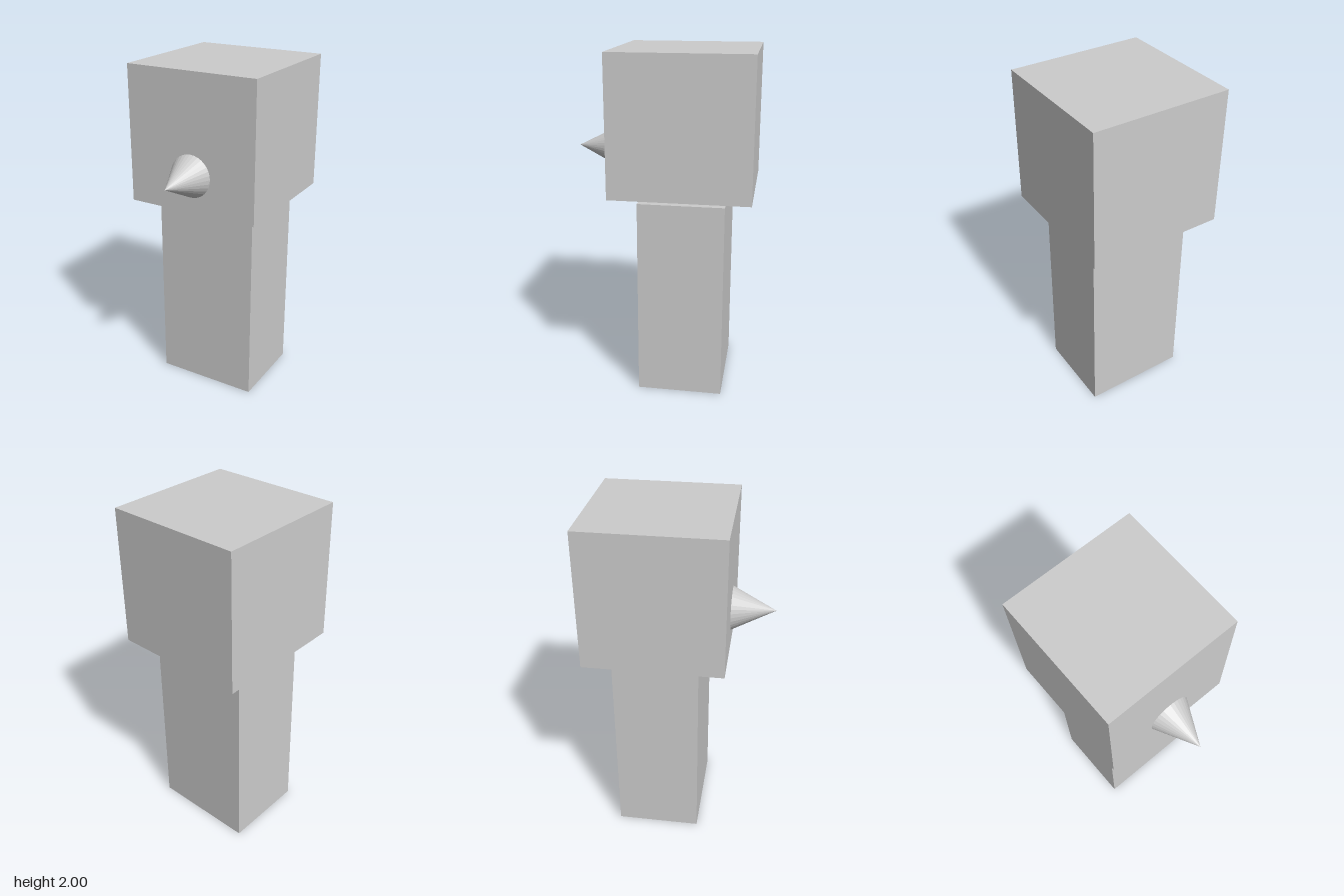
import * as THREE from 'three';

export function createModel() {
  const model = new THREE.Group();
  model.name = 'blockFigure';
  const grey = new THREE.MeshStandardMaterial({ color: 0xcccccc });
  grey.name = 'light grey';
  const flatGrey = grey;
  flatGrey.flatShading = true;

  const add = (name, geometry, x, y, z) => {
    const mesh = new THREE.Mesh(geometry, flatGrey);
    mesh.name = name;
    mesh.position.set(x, y, z);
    model.add(mesh);
    return mesh;
  };

  // Upright body, with a small gap below the head
  add('body', new THREE.BoxGeometry(0.62, 1.163, 0.494), 0, 0.5815, -0.127);

  // Cube head, set slightly forward of the body
  add('head', new THREE.BoxGeometry(0.796, 0.796, 0.796), 0, 1.602, -0.126);

  // Pointed nose on the front of the head
  const noseLength = 0.252;
  const nose = new THREE.ConeGeometry(0.126, noseLength, 32);
  nose.rotateX(Math.PI / 2);
  add('nose', nose, 0, 1.421, 0.27 + noseLength / 2);

  return model;
}
